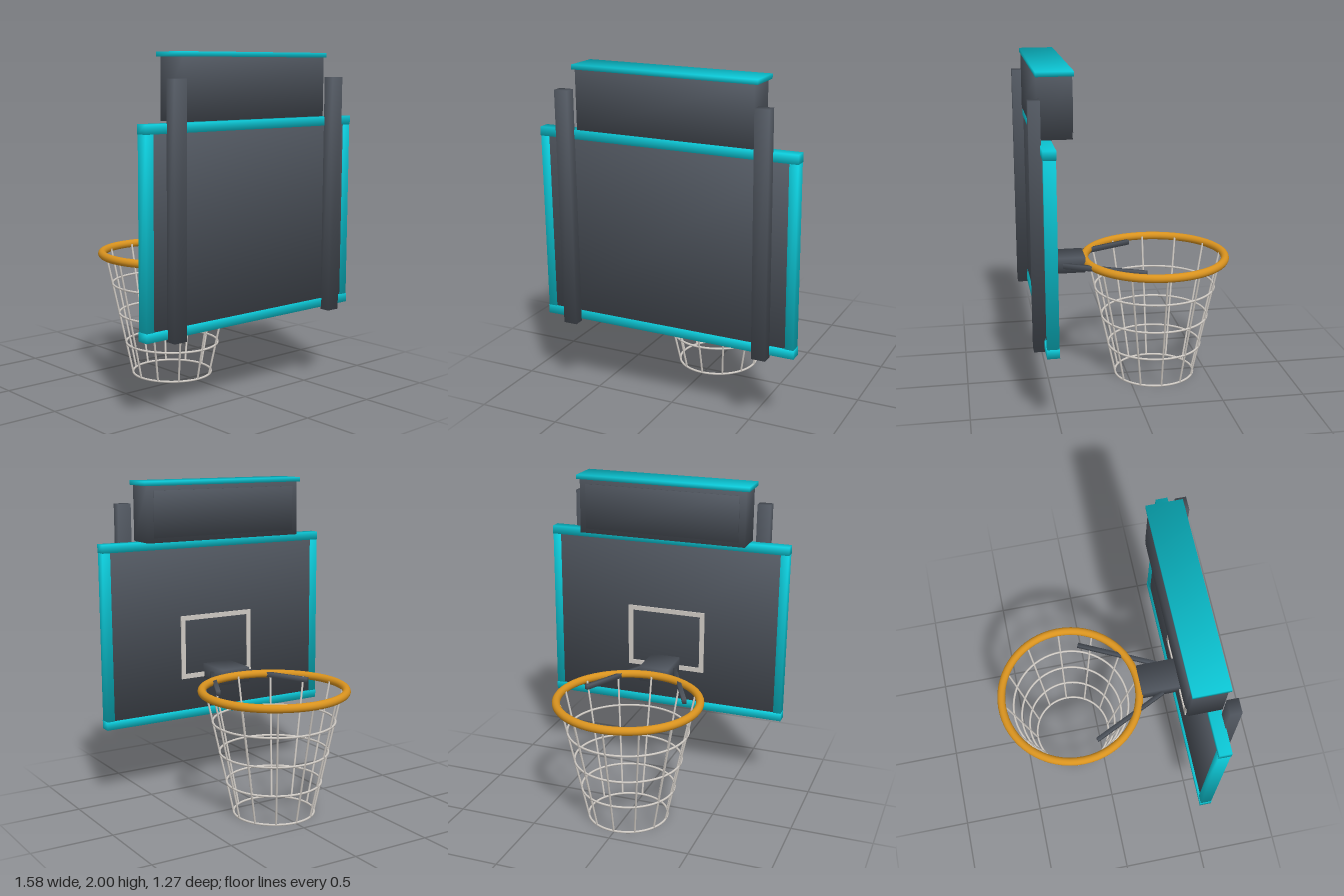
import * as THREE from 'three';

const mat = (name, color) => {
  const m = new THREE.MeshStandardMaterial({ color });
  m.name = name;
  return m;
};

export function createModel() {
  const root = new THREE.Group();
  root.name = 'basketballHoop';
  const dark = mat('slateGrey', 0x50565f);
  const teal = mat('turquoise', 0x0cccdb);
  const orange = mat('rimOrange', 0xd9931f);
  const white = mat('netWhite', 0xcfcac4);

  const add = (name, geometry, material, parent = root) => {
    const mesh = new THREE.Mesh(geometry, material);
    mesh.name = name;
    parent.add(mesh);
    return mesh;
  };

  // Box between two corners, with normals blended over its edges for soft shading
  const softBox = (name, [x0, y0, z0], [x1, y1, z1], material, parent) => {
    const g = new THREE.BoxGeometry(x1 - x0, y1 - y0, z1 - z0);
    const p = g.attributes.position;
    const n = new THREE.Vector3();
    for (let i = 0; i < p.count; i++) {
      n.set(Math.sign(p.getX(i)), Math.sign(p.getY(i)), Math.sign(p.getZ(i))).normalize();
      g.attributes.normal.setXYZ(i, n.x, n.y, n.z);
    }
    const mesh = add(name, g, material, parent);
    mesh.position.set((x0 + x1) / 2, (y0 + y1) / 2, (z0 + z1) / 2);
    return mesh;
  };

  // Backboard and its frame
  softBox('backboard', [-0.745, 0.5, 0.515], [0.745, 1.59, 0.565], dark);
  const frame = new THREE.Group();
  frame.name = 'frame';
  root.add(frame);
  softBox('frameTop', [-0.79, 1.573, 0.504], [0.79, 1.625, 0.575], teal, frame);
  softBox('frameBottom', [-0.79, 0.47, 0.504], [0.79, 0.522, 0.575], teal, frame);
  for (const s of [-1, 1]) {
    const side = s > 0 ? 'Left' : 'Right';
    const c = s * 0.763;
    softBox('frame' + side, [c - 0.025, 0.49, 0.506], [c + 0.025, 1.6, 0.573], teal, frame);
    // Upright post
    const px = s * 0.605;
    softBox('post' + side, [px - 0.042, 0.455, 0.57], [px + 0.042, 1.86, 0.634], dark);
  }

  // Scoreboard housing with screen and cap
  softBox('housing', [-0.54, 1.63, 0.388], [0.54, 1.98, 0.58], dark);
  softBox('screen', [-0.5, 1.66, 0.38], [0.5, 1.945, 0.389], dark);
  softBox('housingCap', [-0.56, 1.973, 0.378], [0.56, 2, 0.585], teal);

  // Target rectangle on the playing side
  const target = new THREE.Shape();
  target.moveTo(-0.26, 0.73).lineTo(0.26, 0.73).lineTo(0.26, 1.14).lineTo(-0.26, 1.14);
  const hole = new THREE.Path();
  hole.moveTo(-0.23, 0.76).lineTo(-0.23, 1.11).lineTo(0.23, 1.11).lineTo(0.23, 0.76);
  target.holes.push(hole);
  const targetGeo = new THREE.ExtrudeGeometry(target, { depth: 0.009, bevelEnabled: false });
  add('targetRectangle', targetGeo, white).position.z = 0.507;

  // Mounting bracket and diagonal arms
  softBox('bracket', [-0.096, 0.72, 0.268], [0.096, 0.815, 0.52], dark);
  for (const s of [-1, 1]) {
    const a = new THREE.Vector3(s * 0.1, 0.768, 0.4);
    const b = new THREE.Vector3(s * 0.322, 0.768, -0.065);
    const len = a.distanceTo(b);
    const arm = softBox('arm', [-0.012, -0.015, -len / 2], [0.012, 0.015, len / 2], dark);
    arm.position.copy(a).lerp(b, 0.5);
    arm.lookAt(b);
  }

  // Rim
  const hoop = new THREE.Group();
  hoop.name = 'hoop';
  hoop.position.z = -0.175;
  root.add(hoop);
  const ring = (name, radius, tube, y, material, sides) => {
    const g = new THREE.TorusGeometry(radius, tube, sides, 64).rotateX(Math.PI / 2);
    add(name, g, material, hoop).position.y = y;
  };
  ring('rim', 0.435, 0.025, 0.77, orange, 16);

  // Net: level rings and twelve slanted strands
  const netRadius = (y) => 0.247 + (y - 0.007) * 0.217;
  for (const y of [0.007, 0.2, 0.39, 0.58]) ring('netRing', netRadius(y), 0.007, y, white, 8);
  for (let i = 0; i < 12; i++) {
    const t = (i * Math.PI) / 6;
    const at = (y) => new THREE.Vector3(Math.cos(t) * netRadius(y), y, Math.sin(t) * netRadius(y));
    const path = new THREE.LineCurve3(at(0.007), at(0.77));
    add('netStrand', new THREE.TubeGeometry(path, 1, 0.0065, 8), white, hoop);
  }
  return root;
}
